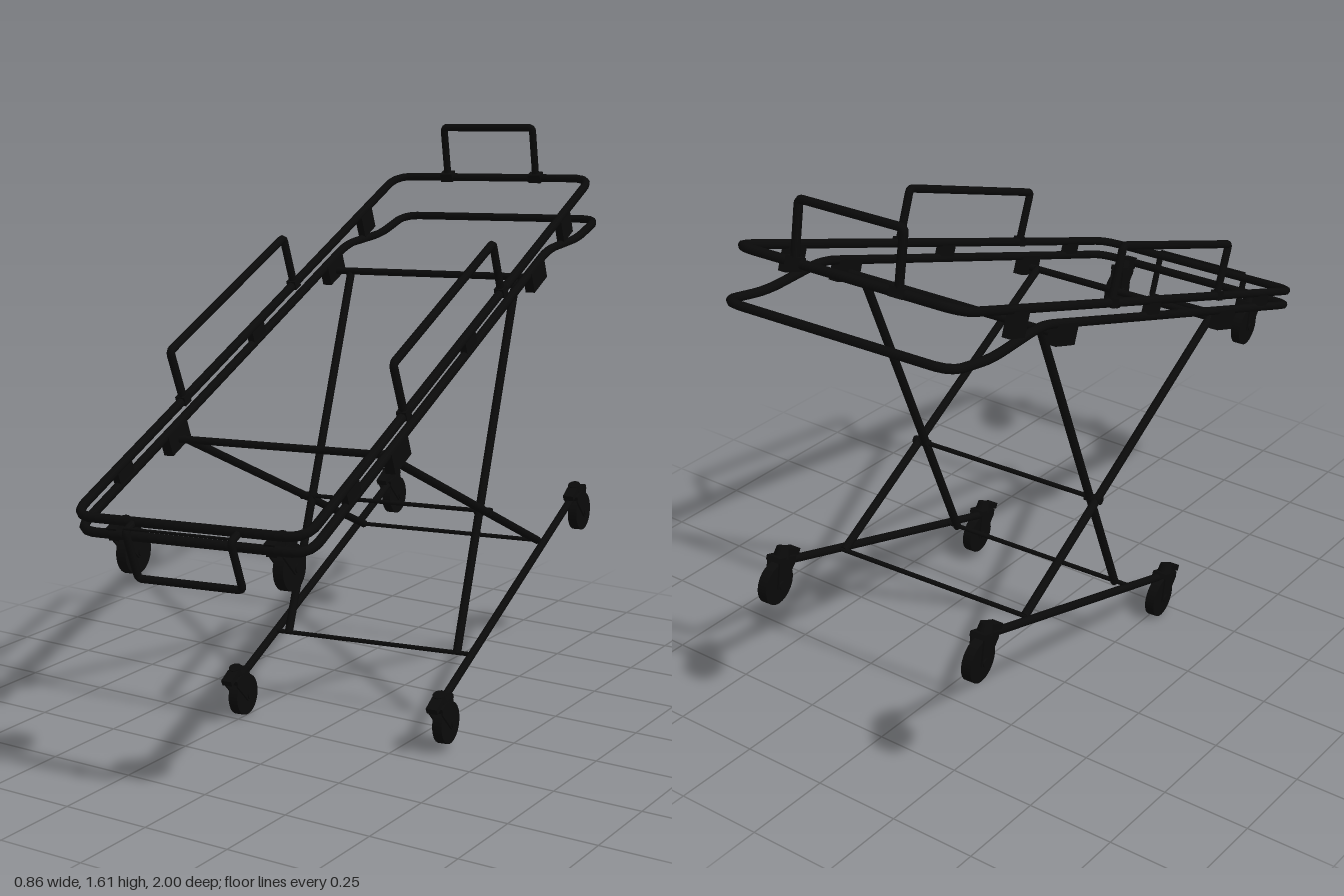
import * as THREE from 'three';

const black = new THREE.MeshStandardMaterial({ color: 0x0a0a0a });
black.name = 'black';

const V = (x, y, z) => new THREE.Vector3(x, y, z);

function add(parent, name, geometry, position) {
  const mesh = new THREE.Mesh(geometry, black);
  mesh.name = name;
  if (position) mesh.position.copy(position);
  parent.add(mesh);
  return mesh;
}

// Straight round bar between two points
function bar(parent, name, a, b, r) {
  const mesh = add(parent, name, new THREE.CylinderGeometry(r, r, a.distanceTo(b), 10));
  mesh.position.lerpVectors(a, b, 0.5);
  mesh.quaternion.setFromUnitVectors(V(0, 1, 0), b.clone().sub(a).normalize());
}

// Bent tube through points, each corner rounded by the given distance
function bentTube(parent, name, pts, r, bend, closed = false, segments = 120) {
  const path = new THREE.CurvePath();
  const n = pts.length;
  const toward = (a, b) => a.clone().add(b.clone().sub(a).setLength(bend));
  const start = closed ? pts[0].clone().lerp(pts[n - 1], 0.5) : pts[0];
  let from = start;
  for (let i = closed ? 0 : 1; i < (closed ? n : n - 1); i++) {
    const p = pts[i];
    const before = toward(p, pts[(i + n - 1) % n]);
    const after = toward(p, pts[(i + 1) % n]);
    path.add(new THREE.LineCurve3(from, before));
    path.add(new THREE.QuadraticBezierCurve3(before, p, after));
    from = after;
  }
  path.add(new THREE.LineCurve3(from, closed ? start : pts[n - 1]));
  add(parent, name, new THREE.TubeGeometry(path, segments, r, 8, closed));
}

// Caster, with its origin at the wheel centre
function caster(parent, name, x, y, z) {
  const g = new THREE.Group();
  g.name = name;
  g.position.set(x, y, z);
  parent.add(g);
  add(g, 'wheel', new THREE.CylinderGeometry(0.058, 0.058, 0.028, 24).rotateZ(Math.PI / 2));
  add(g, 'axle', new THREE.CylinderGeometry(0.012, 0.012, 0.05, 10).rotateZ(Math.PI / 2));
  const plate = new THREE.Shape();
  plate.moveTo(-0.012, -0.012);
  plate.lineTo(0.012, -0.012);
  plate.lineTo(0.045, 0.06);
  plate.lineTo(0.04, 0.075);
  plate.lineTo(-0.03, 0.075);
  for (const s of [-1, 1]) {
    const fork = new THREE.ExtrudeGeometry(plate, { depth: 0.005, bevelEnabled: false });
    fork.rotateY(-Math.PI / 2).translate(s * 0.019 + 0.0025, 0, 0);
    add(g, 'fork', fork);
  }
  add(g, 'forkCrown', new THREE.BoxGeometry(0.043, 0.014, 0.075), V(0, 0.07, 0.005));
  add(g, 'swivel', new THREE.CylinderGeometry(0.018, 0.023, 0.028, 14), V(0, 0.085, 0.005));
  const pedal = add(g, 'brakePedal', new THREE.BoxGeometry(0.032, 0.017, 0.046), V(0, 0.086, 0.04));
  pedal.rotation.x = 0.1;
}

export function createModel() {
  const model = new THREE.Group();
  model.name = 'wheeledStretcher';
  const body = new THREE.Group();
  body.name = 'stretcher';
  model.add(body);

  const W = 0.328, L = 0.988, R = 0.0125, LOW = -0.044;

  // Upper deck frame
  bentTube(body, 'upperFrame',
    [V(-W, 0, -L), V(-W, 0, L), V(W, 0, L), V(W, 0, -L)], R, 0.06, true, 220);

  // Lower frame, dropping away at the back to form the push handle
  const side = [[L, LOW], [-0.6, LOW], [-0.82, -0.117], [-0.992, -0.138]];
  bentTube(body, 'lowerFrame', [
    ...side.map(([z, y]) => V(W, y, z)),
    ...[...side].reverse().map(([z, y]) => V(-W, y, z)),
  ], R, 0.055, true, 240);

  // Loops at the head and the foot
  const H = 0.148;
  bentTube(body, 'headLoop',
    [V(-H, 0, -L), V(-H, 0.153, -1.02), V(H, 0.153, -1.02), V(H, 0, -L)], 0.0115, 0.012);
  bentTube(body, 'footLoop', [
    V(-H, 0, L), V(-H, 0, 1.032), V(-H, -0.138, 1.032),
    V(H, -0.138, 1.032), V(H, 0, 1.032), V(H, 0, L),
  ], 0.01, 0.012);
  bar(body, 'footLoopBar', V(-H, 0.009, 1.032), V(H, 0.009, 1.032), 0.004);

  // Cross bars, from the deck brackets down to the base
  for (const z of [0.495, -0.485])
    bar(body, 'deckCrossBar', V(-W, -0.076, z), V(W, -0.076, z), 0.0105);
  for (const [y, z, x] of [[-0.567, 0, 0.285], [-0.853, 0.289, 0.31], [-0.855, -0.285, 0.31]])
    bar(body, 'legCrossBar', V(-x, y, z), V(x, y, z), 0.0065);

  for (const s of [-1, 1]) {
    const x = s * W;

    // Guard rail with its clamps
    bentTube(body, 'sideGuard',
      [V(x, 0, 0.418), V(x, 0.15, 0.422), V(x, 0.15, -0.25), V(x, 0, -0.25)], 0.0115, 0.012);
    for (const z of [0.418, -0.25])
      add(body, 'guardClamp', new THREE.BoxGeometry(0.028, 0.026, 0.03), V(x, 0.002, z));
    add(body, 'headLoopClamp', new THREE.BoxGeometry(0.04, 0.026, 0.028), V(s * H, 0.002, -L));

    // Spacers between the two frames and pivots for the legs
    for (const z of [0.75, 0])
      add(body, 'frameSpacer', new THREE.BoxGeometry(0.02, 0.045, 0.07), V(x, -0.021, z));
    add(body, 'rearSpacer', new THREE.BoxGeometry(0.022, 0.068, 0.075), V(x, -0.036, -0.735));
    for (const z of [0.495, -0.485])
      add(body, 'legBracket', new THREE.BoxGeometry(0.028, 0.058, 0.1), V(x, -0.07, z));

    // Crossed legs, one pair running inside the other
    bar(body, 'outerLeg', V(s * 0.29, -0.075, 0.495), V(s * 0.29, -0.855, -0.285), 0.012);
    bar(body, 'innerLeg', V(s * 0.268, -0.075, -0.49), V(s * 0.268, -0.855, 0.287), 0.012);
    bar(body, 'legPivot', V(s * 0.255, -0.568, 0), V(s * 0.305, -0.568, 0), 0.012);

    // Base rail and casters
    bar(body, 'baseRail', V(s * 0.312, -0.857, 0.5), V(s * 0.312, -0.857, -0.53), 0.0115);
    caster(body, 'frontCaster', s * 0.318, -0.918, 0.51);
    caster(body, 'rearCaster', s * 0.318, -0.918, -0.55);
    caster(body, 'deckCaster', s * 0.223, -0.134, 0.927);
    add(body, 'deckCasterMount', new THREE.BoxGeometry(0.03, 0.036, 0.06), V(s * 0.223, -0.045, 0.96));
  }

  // Whole stretcher stands pitched and slightly turned
  const z = V(0.096, -0.339, 0.936).normalize();
  const y = z.clone().cross(V(0.995, 0.035, -0.09)).normalize();
  const x = y.clone().cross(z);
  body.quaternion.setFromRotationMatrix(new THREE.Matrix4().makeBasis(x, y, z));
  body.position.set(0, 1.108, 0.01);
  return model;
}
